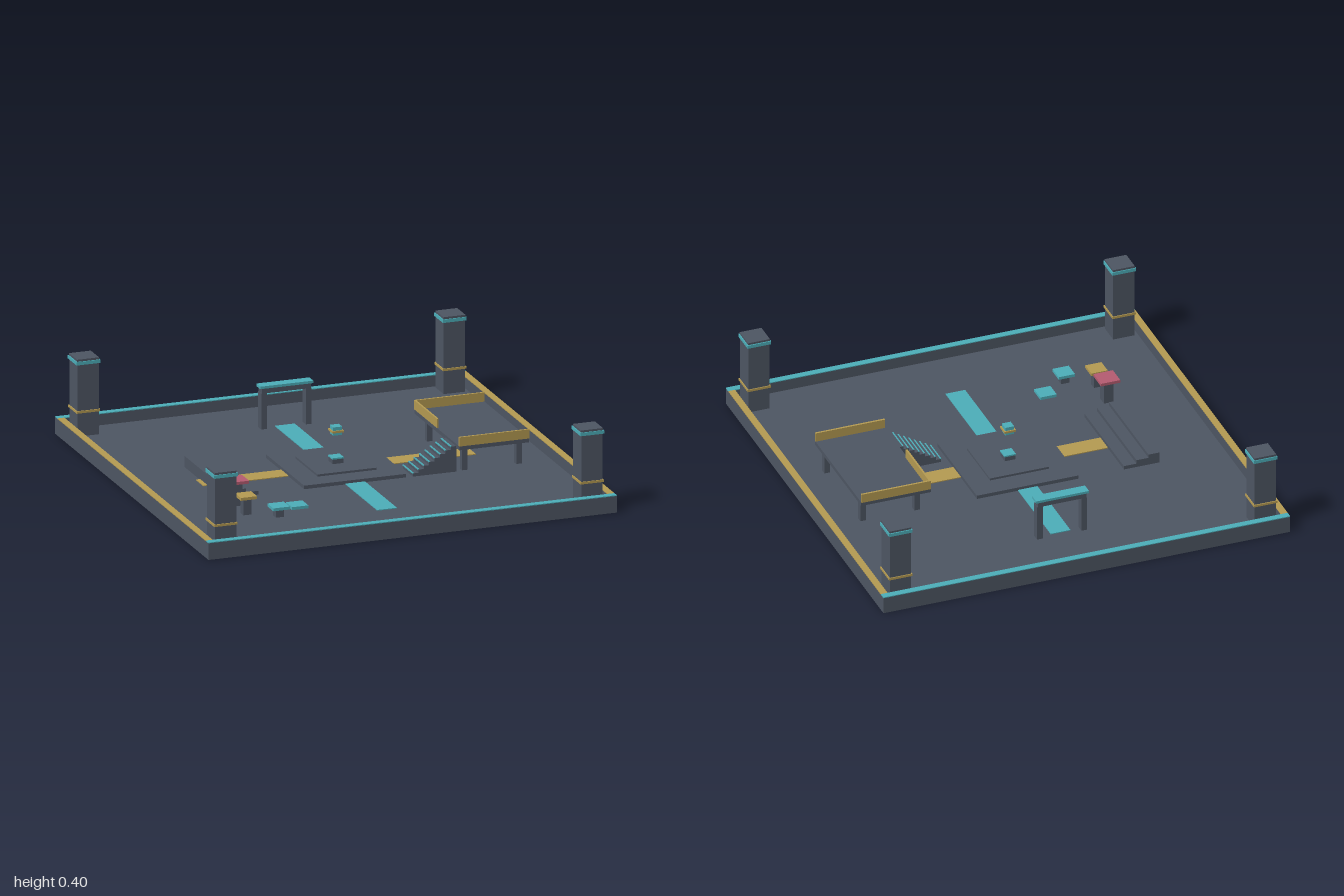
import * as THREE from 'three';

const mat = (name, color) => {
  const m = new THREE.MeshStandardMaterial({ color });
  m.name = name;
  return m;
};

export function createModel() {
  const slate = mat('slate', 0x4e5663);
  const teal = mat('teal', 0x4dafba);
  const gold = mat('gold', 0xb59b52);
  const rose = mat('rose', 0xb55c71);
  const model = new THREE.Group();
  model.name = 'arena';

  // Box given by its limits on each axis
  const box = (parent, name, material, [x0, x1], [y0, y1], [z0, z1]) => {
    const mesh = new THREE.Mesh(new THREE.BoxGeometry(x1 - x0, y1 - y0, z1 - z0), material);
    mesh.position.set((x0 + x1) / 2, (y0 + y1) / 2, (z0 + z1) / 2);
    mesh.name = name;
    parent.add(mesh);
    return mesh;
  };
  // Square block centred on x, z
  const block = (parent, name, material, x, z, size, y0, y1) =>
    box(parent, name, material, [x - size / 2, x + size / 2], [y0, y1], [z - size / 2, z + size / 2]);
  const group = (name) => {
    const g = new THREE.Group();
    g.name = name;
    model.add(g);
    return g;
  };

  const floorY = 0.027, wallY = 0.08, wallT = 0.033, trimY = 0.084;

  // Floor and low boundary walls with coloured top trim
  box(model, 'floor', slate, [-1 + wallT, 1 - wallT], [0, floorY], [-1 + wallT, 1 - wallT]);
  const walls = group('boundaryWalls');
  for (const s of [-1, 1]) {
    const edge = s < 0 ? [-1, -1 + wallT] : [1 - wallT, 1];
    const inner = [-1 + wallT, 1 - wallT];
    box(walls, 'endWall', slate, [-1, 1], [0, wallY], edge);
    box(walls, 'endTrim', teal, [-1, 1], [wallY, trimY], edge);
    box(walls, 'sideWall', slate, edge, [0, wallY], inner);
    box(walls, 'sideTrim', gold, edge, [wallY, trimY], inner);
  }

  // Corner pillars
  for (const sx of [-1, 1]) for (const sz of [-1, 1]) {
    const p = group('cornerPillar');
    const x = sx * 0.897, z = sz * 0.897;
    block(p, 'pillarShaft', slate, x, z, 0.105, floorY, 0.375);
    block(p, 'pillarLowerBand', gold, x, z, 0.114, 0.139, 0.15);
    block(p, 'pillarUpperBand', teal, x, z, 0.116, 0.372, 0.388);
    block(p, 'pillarCap', slate, x, z, 0.107, 0.388, 0.398);
  }

  // Painted floor paths, split around the central platform
  const paths = group('floorPaths');
  for (const s of [-1, 1]) {
    const span = s < 0 ? [-0.667, -0.25] : [0.25, 0.667];
    box(paths, 'longPath', teal, [-0.048, 0.048], [floorY, floorY + 0.004], span);
    box(paths, 'crossPath', gold, span, [floorY, floorY + 0.004], [-0.048, 0.048]);
  }

  // Central platform, pedestal and hovering cube
  const centre = group('centralPlatform');
  block(centre, 'lowerTier', slate, 0, 0, 0.5, floorY, 0.044);
  block(centre, 'upperTier', slate, 0, 0, 0.29, 0.044, 0.054);
  block(centre, 'pedestal', slate, 0, 0, 0.052, 0.054, 0.076);
  block(centre, 'pedestalTop', teal, 0, 0, 0.056, 0.076, 0.083);
  block(centre, 'hoverCube', teal, 0, 0, 0.044, 0.189, 0.229);
  block(centre, 'hoverBand', gold, 0, 0, 0.056, 0.202, 0.212);

  // Stepped seating on the right, highest at the outside
  const seating = group('steppedSeating');
  [[-0.647, -0.594, 0.08], [-0.594, -0.535, 0.063], [-0.535, -0.473, 0.045]].forEach(([x0, x1, y]) =>
    box(seating, 'seatStep', slate, [x0, x1], [floorY, y], [-0.25, 0.25]));

  // Archway at the rear
  const arch = group('archway');
  for (const s of [-1, 1])
    box(arch, 'archPost', slate, [s * 0.109 - 0.014, s * 0.109 + 0.014], [floorY, 0.2], [-0.687, -0.647]);
  box(arch, 'archBeam', slate, [-0.12, 0.12], [0.2, 0.224], [-0.689, -0.645]);
  box(arch, 'archTop', teal, [-0.13, 0.13], [0.224, 0.236], [-0.693, -0.641]);

  // Raised deck with railings
  const deck = group('raisedDeck');
  box(deck, 'deckSlab', slate, [0.494, 0.836], [0.142, 0.161], [-0.295, 0.292]);
  for (const x of [0.54, 0.806]) for (const z of [-0.228, 0.228])
    block(deck, 'deckPost', slate, x, z, 0.028, floorY, 0.142);
  box(deck, 'rearRail', gold, [0.494, 0.836], [0.161, 0.205], [-0.3, -0.29]);
  box(deck, 'frontRail', gold, [0.494, 0.836], [0.161, 0.205], [0.284, 0.294]);
  box(deck, 'innerRail', gold, [0.494, 0.503], [0.161, 0.205], [-0.29, 0]);

  // Stairs up to the deck with coloured nosings
  const stairs = group('stairs');
  const steps = 8, run = 0.212 / steps, rise = (0.15 - floorY) / steps;
  for (let i = 0; i < steps; i++) {
    const x = 0.283 + i * run, y = floorY + (i + 1) * rise;
    box(stairs, 'stairStep', slate, [x, x + run], [floorY, y], [0.117, 0.25]);
    box(stairs, 'stairNosing', teal, [x - 0.001, x + 0.005], [y - 0.003, y + 0.002], [0.118, 0.249]);
  }

  // Small display stands: x, z, top size, top height, colour
  [
    [-0.623, 0.352, 0.095, 0.151, rose],
    [-0.627, 0.495, 0.08, 0.119, gold],
    [-0.499, 0.58, 0.08, 0.08, teal],
    [-0.376, 0.495, 0.08, 0.046, teal],
  ].forEach(([x, z, size, y, material]) => {
    const stand = group('displayStand');
    block(stand, 'standColumn', slate, x, z, size * 0.5, floorY, y - 0.014);
    block(stand, 'standTop', material, x, z, size, y - 0.014, y);
  });

  return model;
}
